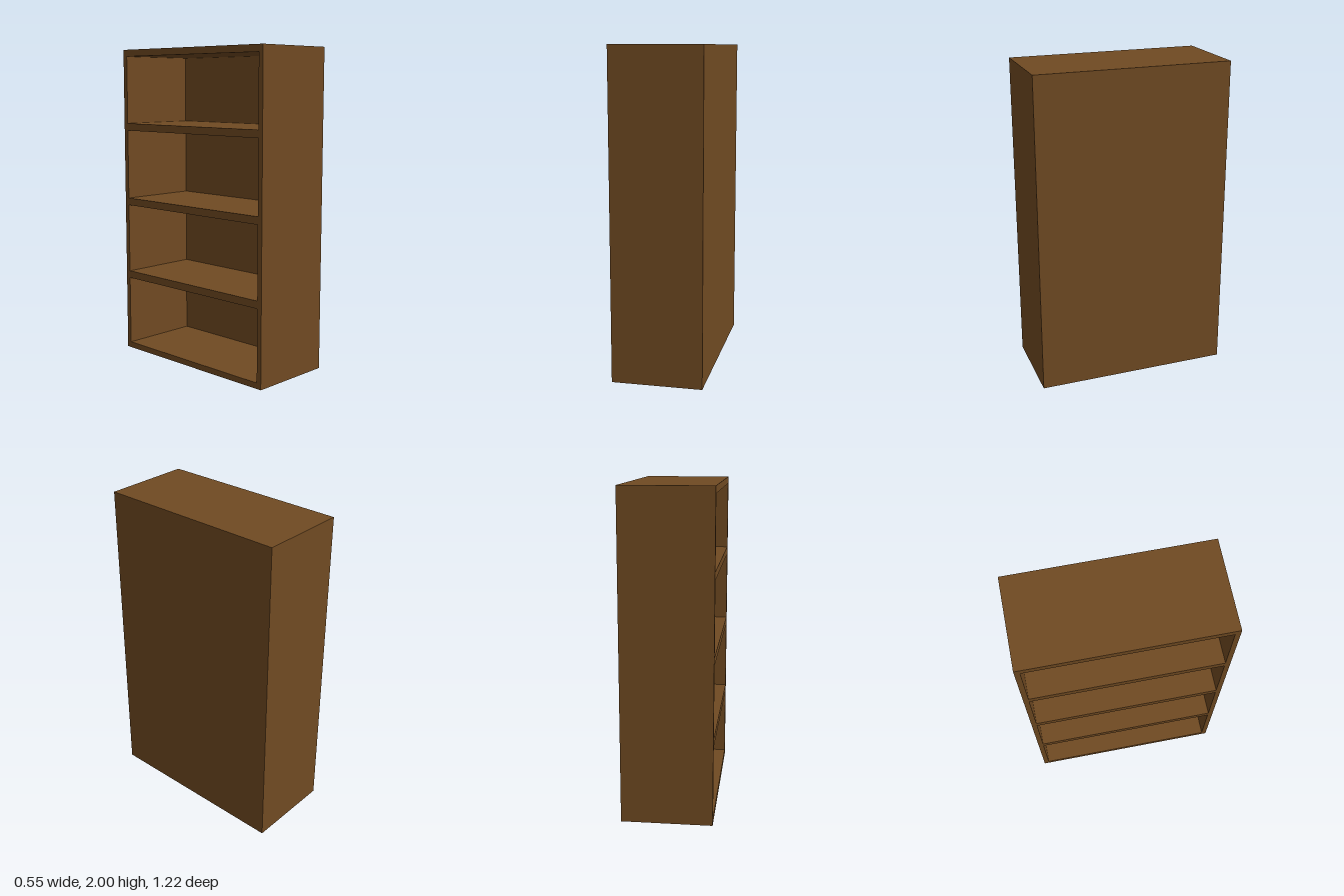
import * as THREE from 'three';

// Open bookcase: the closed back panel is on +x, the shelves open toward -x.
export function createModel() {
  const model = new THREE.Group();
  model.name = 'bookcase';
  const wood = new THREE.MeshStandardMaterial({ color: 0x704a22 });
  wood.name = 'brown wood';

  const W = 0.277, D = 0.608, H = 2;
  const side = 0.032, back = 0.03, base = 0.037, top = 0.043, shelf = 0.047;

  // Adds a board spanning the given minimum and maximum corners
  function board(name, [x0, y0, z0], [x1, y1, z1]) {
    const mesh = new THREE.Mesh(new THREE.BoxGeometry(x1 - x0, y1 - y0, z1 - z0), wood);
    mesh.position.set((x0 + x1) / 2, (y0 + y1) / 2, (z0 + z1) / 2);
    mesh.name = name;
    model.add(mesh);
  }

  // Carcass: top and base between the sides, back panel set inside them
  const inner = D - side;
  board('frontSidePanel', [-W, 0, inner], [W, H, D]);
  board('rearSidePanel', [-W, 0, -D], [W, H, -inner]);
  board('topPanel', [-W, H - top, -inner], [W, H, inner]);
  board('basePanel', [-W, 0, -inner], [W, base, inner]);
  board('backPanel', [W - back, base, -inner], [W, H - top, inner]);

  // Three evenly spaced shelves, flush with the open edge
  for (let i = 1; i <= 3; i++) {
    const y = base + i * 0.4955;
    board('shelf' + i, [-W, y - shelf, -inner], [W - back, y, inner]);
  }
  return model;
}
